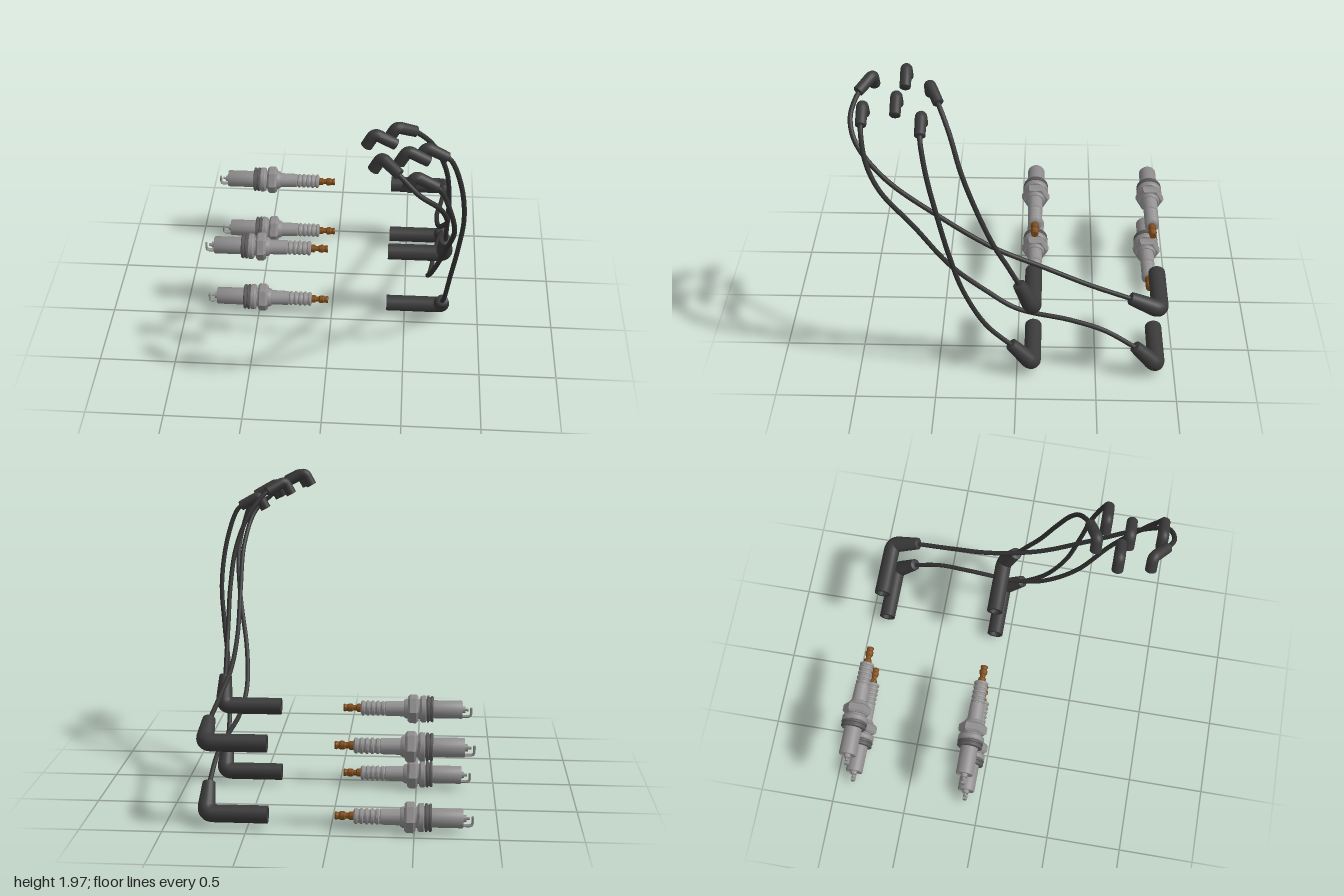
import * as THREE from 'three';
import { toCreasedNormals } from 'three/addons/utils/BufferGeometryUtils.js';

const V = (x, y, z) => new THREE.Vector3(x, y, z);
const mat = (name, color) => {
  const m = new THREE.MeshStandardMaterial({ color });
  m.name = name;
  return m;
};

// Skin a list of [centre, tangent, radius] rings lying around a planar path with normal b
function skin(rings, b, sides = 20, widen = 1) {
  const pos = [], idx = [];
  for (const [p, t, r] of rings) {
    const s = b.clone().cross(t).normalize();
    for (let j = 0; j < sides; j++) {
      const a = (j / sides) * Math.PI * 2;
      const q = p.clone().addScaledVector(s, r * Math.cos(a)).addScaledVector(b, r * widen * Math.sin(a));
      pos.push(q.x, q.y, q.z);
    }
  }
  for (let i = 0; i < rings.length - 1; i++) {
    for (let j = 0; j < sides; j++) {
      const k = (j + 1) % sides;
      const a = i * sides + j, c = i * sides + k;
      idx.push(a, c, a + sides, c, c + sides, a + sides);
    }
  }
  const g = new THREE.BufferGeometry();
  g.setAttribute('position', new THREE.Float32BufferAttribute(pos, 3));
  g.setIndex(idx);
  return toCreasedNormals(g, 0.7);
}

// Rubber elbow: hollow leg along u, rounded bend at corner k, tapered leg along v
function elbow(k, u, v, lenU, lenV, r, rEnd) {
  const tA = u.clone().negate();
  const b = tA.clone().cross(v).normalize();
  const at = (dir, d) => k.clone().addScaledVector(dir, d);
  const f = r * 0.85;
  const rings = [
    [at(u, lenU * 0.6), tA, 0], [at(u, lenU * 0.6), tA, r * 0.68],
    [at(u, lenU), tA, r * 0.68], [at(u, lenU), tA, r],
  ];
  const steps = 8;
  for (let i = 0; i <= steps; i++) {
    const w = i / steps;
    const p = k.clone().addScaledVector(u, f * (1 - w) * (1 - w)).addScaledVector(v, f * w * w);
    const t = tA.clone().multiplyScalar(1 - w).addScaledVector(v, w).normalize();
    rings.push([p, t, r]);
  }
  rings.push([at(v, lenV), v, rEnd], [at(v, lenV + 0.004), v, rEnd * 0.85], [at(v, lenV + 0.004), v, 0]);
  return skin(rings, b);
}

// Turned part along x from [x, radius] pairs
function turned(profile, sides = 28) {
  const g = new THREE.LatheGeometry(profile.map(([x, r]) => new THREE.Vector2(r, x)), sides);
  g.rotateZ(-Math.PI / 2);
  return toCreasedNormals(g, 0.6);
}

export function createModel() {
  const model = new THREE.Group();
  const rubber = mat('black rubber', 0x3a3a3a);
  const wire = mat('cable black', 0x333333);
  const steel = mat('steel', 0x8e8c8c);
  const ceramic = mat('grey ceramic', 0x949292);
  const dark = mat('dark gasket', 0x5a5858);
  const brass = mat('brown terminal', 0x7d4a18);
  const add = (parent, name, geo, material) => {
    const m = new THREE.Mesh(geo, material);
    m.name = name;
    parent.add(m);
  };

  // Plug geometries, shared by all four plugs
  const shell = turned([[-0.785, 0], [-0.785, 0.045], [-0.79, 0.048], [-0.79, 0.055], [-0.785, 0.058],
    [-0.605, 0.058], [-0.605, 0.064], [-0.43, 0.064], [-0.415, 0.055], [-0.415, 0]]);
  const gasket = turned([[-0.605, 0.05], [-0.605, 0.078], [-0.6, 0.084], [-0.59, 0.084], [-0.586, 0.077],
    [-0.58, 0.077], [-0.576, 0.086], [-0.566, 0.086], [-0.562, 0.077], [-0.558, 0.05]]);
  const collar = turned([[-0.559, 0.05], [-0.559, 0.08], [-0.554, 0.086], [-0.53, 0.086], [-0.52, 0.078], [-0.515, 0.05]]);
  const hex = turned([[-0.508, 0.05], [-0.508, 0.08], [-0.495, 0.095], [-0.455, 0.095], [-0.44, 0.08], [-0.44, 0.05]], 6);
  const ribs = [[-0.42, 0], [-0.42, 0.05], [-0.3, 0.048]];
  for (let i = 0; i < 5; i++) {
    const x = -0.3 + i * 0.032;
    ribs.push([x + 0.004, 0.04], [x + 0.009, 0.041], [x + 0.013, 0.048], [x + 0.025, 0.048], [x + 0.03, 0.042]);
  }
  ribs.push([-0.138, 0.034], [-0.138, 0]);
  const insulator = turned(ribs);
  const terminal = turned([[-0.142, 0.026], [-0.115, 0.026], [-0.108, 0.018], [-0.09, 0.018], [-0.082, 0.026],
    [-0.06, 0.027], [-0.052, 0.021], [-0.044, 0.021], [-0.036, 0.025], [-0.026, 0.022], [-0.025, 0]], 20);
  const centre = turned([[-0.828, 0], [-0.828, 0.009], [-0.81, 0.009], [-0.808, 0.02], [-0.78, 0.024]], 16);
  const hook = skin([
    [V(-0.78, -0.044, 0), V(-1, 0, 0), 0.009], [V(-0.83, -0.044, 0), V(-1, 0, 0), 0.009],
    [V(-0.842, -0.038, 0), V(-0.7, 0.7, 0), 0.009], [V(-0.846, -0.028, 0), V(0, 1, 0), 0.008],
    [V(-0.846, 0.012, 0), V(0, 1, 0), 0.008], [V(-0.846, 0.012, 0), V(0, 1, 0), 0],
  ], V(0, 0, 1), 8, 1.7);

  for (const y of [0.095, 0.535]) {
    for (const z of [-0.1, -0.885]) {
      const plug = new THREE.Group();
      plug.name = 'sparkPlug';
      plug.position.set(0, y, z);
      add(plug, 'shell', shell, steel);
      add(plug, 'gasket', gasket, dark);
      add(plug, 'collar', collar, steel);
      add(plug, 'hexNut', hex, steel);
      add(plug, 'insulator', insulator, ceramic);
      add(plug, 'terminal', terminal, brass);
      add(plug, 'centreElectrode', centre, steel);
      add(plug, 'groundElectrode', hook, steel);
      model.add(plug);
    }
  }

  // Boots over the plugs: [corner y, z, cable end y, z]
  const boots = [[0.535, -0.1, 0.715, -0.015], [0.09, -0.1, 0.24, 0.035],
    [0.535, -0.885, 0.62, -0.7], [0.09, -0.885, 0.235, -0.745]];
  for (const [y, z, ey, ez] of boots) {
    const v = V(0, ey - y, ez - z);
    const len = v.length();
    add(model, 'plugBoot', elbow(V(0.75, y, z), V(-1, 0, 0), v.normalize(), 0.374, len, 0.054, 0.04), rubber);
  }

  // Small caps on the tilted coil plane: [corner x, y, z, swing of the cable leg]
  const tilt = 0.5;
  const down = V(-Math.sin(tilt), -Math.cos(tilt), 0);
  const caps = [[0.41, 1.915, 0.515, -0.42], [0.588, 1.81, 0.555, 0], [0.335, 1.93, 0.855, 0.6],
    [0.528, 1.84, 0.9, 0], [0.288, 1.958, 0.66, 0], [0.478, 1.88, 0.705, 0]];
  for (const [x, y, z, swing] of caps) {
    const v = V(Math.cos(tilt) * Math.cos(swing), -Math.sin(tilt) * Math.cos(swing), Math.sin(swing));
    add(model, 'coilCap', elbow(V(x, y, z), down, v, 0.095, 0.138, 0.035, 0.033), rubber);
  }

  // Cables from caps to boots
  const cables = [
    [[0.49, 1.868, 0.477], [0.54, 1.835, 0.45], [0.635, 1.71, 0.39], [0.715, 1.5, 0.325], [0.745, 1.26, 0.24],
      [0.75, 1.01, 0.14], [0.75, 0.85, 0.055], [0.75, 0.69, -0.027]],
    [[0.68, 1.76, 0.555], [0.73, 1.725, 0.553], [0.8, 1.53, 0.52], [0.835, 1.24, 0.456], [0.815, 0.97, 0.4],
      [0.78, 0.68, 0.325], [0.758, 0.4, 0.19], [0.75, 0.22, 0.02]],
    [[0.41, 1.885, 0.915], [0.46, 1.848, 0.945], [0.55, 1.765, 0.973], [0.66, 1.66, 0.934], [0.72, 1.46, 0.775],
      [0.71, 1.18, 0.456], [0.69, 0.945, 0.14], [0.69, 0.795, -0.18], [0.72, 0.695, -0.445], [0.75, 0.61, -0.72]],
    [[0.62, 1.79, 0.9], [0.67, 1.755, 0.9], [0.735, 1.58, 0.875], [0.765, 1.4, 0.8], [0.735, 1.13, 0.615],
      [0.665, 0.785, 0.405], [0.64, 0.575, 0.19], [0.66, 0.456, 0], [0.7, 0.4, -0.34], [0.73, 0.345, -0.55],
      [0.75, 0.22, -0.76]],
  ];
  for (const pts of cables) {
    const curve = new THREE.CatmullRomCurve3(pts.map((p) => V(...p)));
    add(model, 'cable', new THREE.TubeGeometry(curve, 80, 0.015, 12), wire);
  }
  return model;
}
